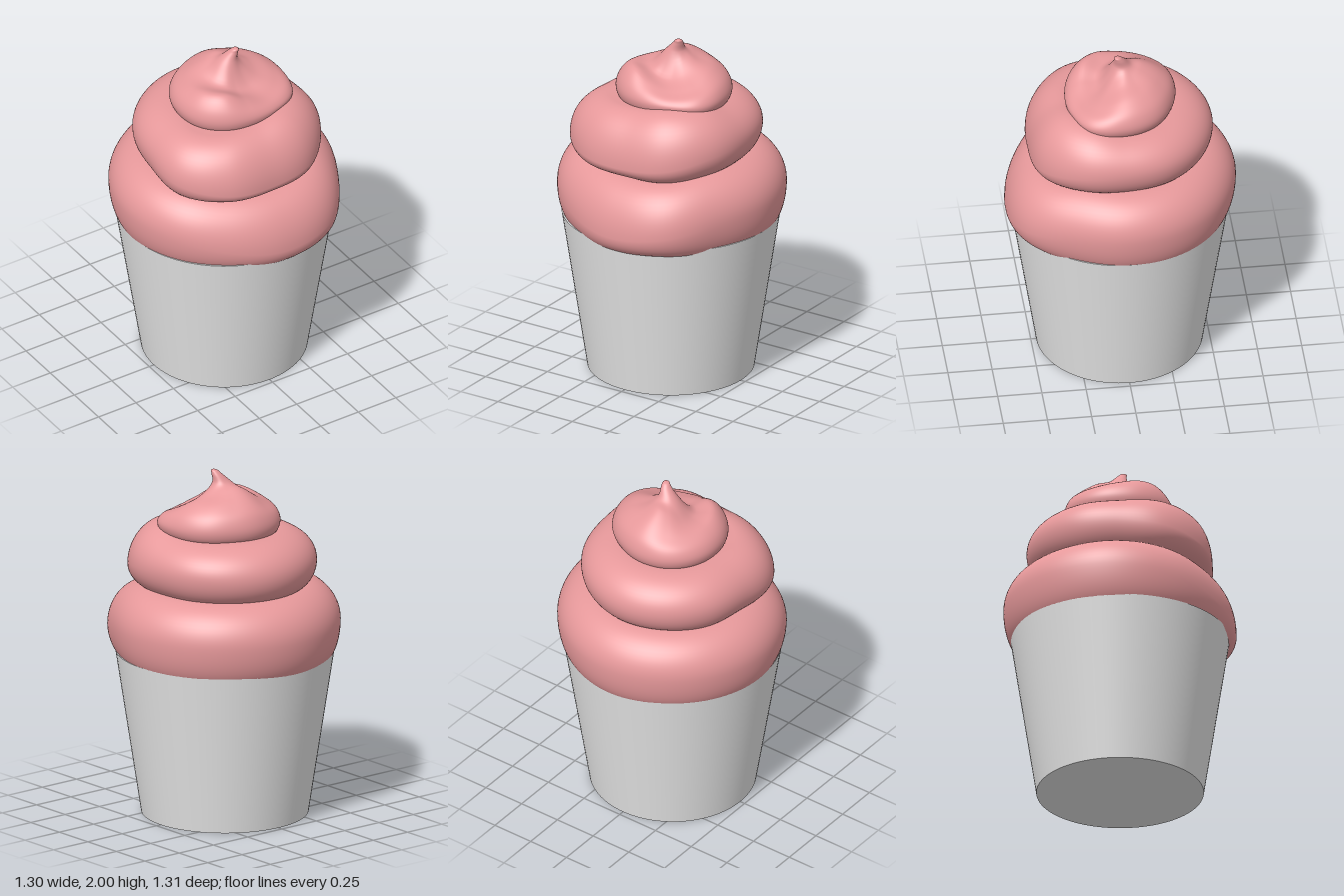
import * as THREE from 'three';

// Smooth periodic lookup in twelve values, 30 degrees apart (0 = front, 3 = +x side)
function around(keys, a) {
  const n = keys.length;
  const t = (a / (2 * Math.PI)) * n;
  const i = Math.floor(t), f = t - i;
  const [p, q, r, s] = [-1, 0, 1, 2].map((k) => keys[(i + k + n) % n]);
  return q + 0.5 * f * (r - p + f * (2 * p - 5 * q + 4 * r - s + f * (3 * (q - r) + s - p)));
}

// Closed-round skin: profile(angle) lists points from bottom to top
function skin(profile, segments = 120) {
  const pos = [], index = [];
  let rows = 0;
  for (let i = 0; i < segments; i++) {
    const pts = profile((i / segments) * 2 * Math.PI);
    rows = pts.length;
    for (const p of pts) pos.push(p.x, p.y, p.z);
  }
  for (let i = 0; i < segments; i++) {
    for (let j = 0; j < rows - 1; j++) {
      const a = i * rows + j, b = ((i + 1) % segments) * rows + j;
      index.push(a, b, b + 1, a, b + 1, a + 1);
    }
  }
  const g = new THREE.BufferGeometry();
  g.setAttribute('position', new THREE.Float32BufferAttribute(pos, 3));
  g.setIndex(index);
  g.computeVertexNormals();
  return g;
}

const polar = (r, y, a, cx = 0, cz = 0) =>
  new THREE.Vector3(cx + r * Math.sin(a), y, cz + r * Math.cos(a));

// One fat coil: rounded below and above its widest line
function coil({ radius, mid, bottom, top, under, over, inner }) {
  return skin((a) => {
    const R = around(radius, a), m = around(mid, a);
    const b = around(bottom, a), t = around(top, a);
    const pts = [polar(inner, b, a)];
    const steps = 14;
    for (let k = 0; k <= steps; k++) {
      const w = (k / steps) * Math.PI / 2;
      pts.push(polar(R - under + under * Math.sin(w), b + (m - b) * (1 - Math.cos(w)), a));
    }
    for (let k = 1; k <= steps; k++) {
      const w = (k / steps) * Math.PI / 2;
      pts.push(polar(R - over + over * Math.cos(w), m + (t - m) * Math.sin(w), a));
    }
    pts.push(polar(inner, t, a));
    return pts;
  });
}

// Top dollop: uneven shoulder and hollow, drawn up into a curled tip
function dollop() {
  const radius = [0.31, 0.335, 0.385, 0.365, 0.345, 0.32, 0.315, 0.315, 0.31, 0.305, 0.31, 0.31];
  const shoulder = [1.79, 1.76, 1.78, 1.83, 1.84, 1.845, 1.85, 1.82, 1.81, 1.82, 1.84, 1.84];
  const hollow = [1.8, 1.8, 1.83, 1.87, 1.88, 1.9, 1.91, 1.89, 1.86, 1.84, 1.83, 1.82];
  return skin((a) => {
    const R = around(radius, a), s = around(shoulder, a), h = around(hollow, a);
    return new THREE.CatmullRomCurve3([
      polar(R * 0.6, 1.62, a),
      polar(R * 0.92, 1.64, a),
      polar(R, 1.7, a),
      polar(R * 0.93, 0.45 * 1.7 + 0.55 * s, a),
      polar(R * 0.72, s, a),
      polar(R * 0.4, h, a, 0.01),
      polar(0.055, 1.925, a, 0.03, -0.01),
      polar(0.028, 1.975, a, 0.055, 0.008),
      polar(0.018, 1.994, a, 0.063, 0.018),
      polar(0.0005, 2.0, a, 0.065, 0.02),
    ]).getPoints(54);
  });
}

export function createModel() {
  const model = new THREE.Group();
  model.name = 'cupcake';
  const paper = new THREE.MeshStandardMaterial({ color: 0xe7e7e7 });
  paper.name = 'white paper';
  const cream = new THREE.MeshStandardMaterial({ color: 0xe7999b });
  cream.name = 'pink frosting';

  const add = (name, geometry, material) => {
    const mesh = new THREE.Mesh(geometry, material);
    mesh.name = name;
    model.add(mesh);
    return mesh;
  };

  // Tapered cup
  add('cup', new THREE.CylinderGeometry(0.615, 0.47, 0.945, 96), paper).position.y = 0.4725;

  // Frosting, widest coil first; the front of each coil sags
  add('lowerFrosting', coil({
    radius: [0.65, 0.68, 0.64, 0.648, 0.65, 0.65, 0.655, 0.65, 0.65, 0.65, 0.64, 0.628],
    mid: [1.0, 1.04, 1.1, 1.12, 1.12, 1.12, 1.12, 1.12, 1.12, 1.12, 1.1, 1.04],
    bottom: [0.89, 0.905, 0.885, 0.885, 0.885, 0.885, 0.885, 0.885, 0.885, 0.885, 0.885, 0.885],
    top: [1.3, 1.31, 1.34, 1.34, 1.34, 1.34, 1.34, 1.34, 1.34, 1.34, 1.33, 1.31],
    under: 0.1, over: 0.22, inner: 0.2,
  }), cream);
  add('middleFrosting', coil({
    radius: [0.52, 0.55, 0.54, 0.508, 0.515, 0.52, 0.525, 0.52, 0.515, 0.51, 0.565, 0.555],
    mid: [1.37, 1.4, 1.46, 1.48, 1.48, 1.47, 1.47, 1.47, 1.47, 1.46, 1.42, 1.38],
    bottom: [1.29, 1.29, 1.31, 1.31, 1.31, 1.31, 1.31, 1.31, 1.3, 1.3, 1.29, 1.29],
    top: [1.665, 1.69, 1.69, 1.66, 1.65, 1.65, 1.65, 1.65, 1.65, 1.65, 1.65, 1.655],
    under: 0.14, over: 0.22, inner: 0.1,
  }), cream);
  add('topFrosting', dollop(), cream);

  return model;
}
